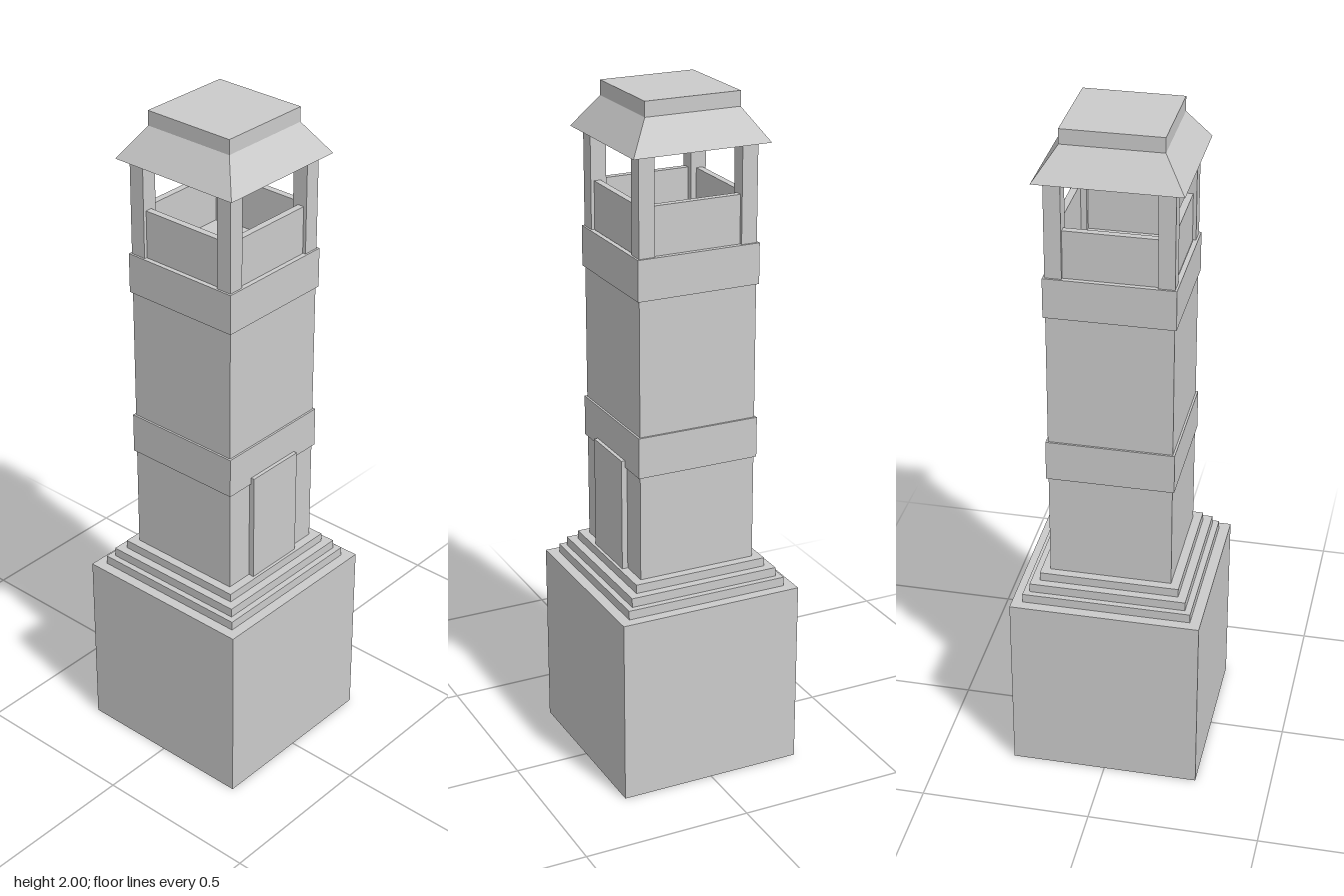
import * as THREE from 'three';

const material = new THREE.MeshStandardMaterial({ color: 0xcccccc, flatShading: true, side: THREE.DoubleSide });

// Square tower section from a profile of [half width, height] pairs, bottom to top
function squareShell(name, profile) {
  const points = profile.map(([half, y]) => new THREE.Vector2(half * Math.SQRT2, y));
  const geometry = new THREE.LatheGeometry(points, 4, Math.PI / 4).toNonIndexed();
  geometry.computeVertexNormals();
  const mesh = new THREE.Mesh(geometry, material);
  mesh.name = name;
  return mesh;
}

function box(name, w, h, d, x, y, z) {
  const mesh = new THREE.Mesh(new THREE.BoxGeometry(w, h, d), material);
  mesh.name = name;
  mesh.position.set(x, y, z);
  return mesh;
}

export function createModel() {
  const model = new THREE.Group();
  model.name = 'tower';

  // Hollow plinth and three steps, open underneath
  model.add(squareShell('plinth', [[0.278, 0], [0.278, 0.556], [0.247, 0.556]]));
  const steps = [
    [0.247, 0.085, 0.583, 0.229],
    [0.229, 0.185, 0.61, 0.204],
    [0.204, 0.215, 0.636, 0.178],
  ];
  steps.forEach(([half, bottom, top, inner], i) => {
    model.add(squareShell('step' + (i + 1), [[half, bottom], [half, top], [inner, top]]));
  });

  // Shaft with two raised bands
  model.add(squareShell('shaft', [[0.178, 0.235], [0.178, 1.58], [0, 1.58]]));
  for (const [name, bottom, top] of [['lowerBand', 0.95, 1.07], ['upperBand', 1.465, 1.583]]) {
    model.add(squareShell(name, [[0.178, bottom], [0.184, bottom], [0.184, top], [0.17, top]]));
  }

  // Door on the front
  model.add(box('door', 0.186, 0.334, 0.03, -0.002, 0.803, 0.18));

  // Open belfry: a post at each corner and a parapet panel on each side
  const belfry = new THREE.Group();
  belfry.name = 'belfry';
  for (const sx of [-1, 1]) {
    for (const sz of [-1, 1]) {
      belfry.add(box('post', 0.047, 0.29, 0.047, sx * 0.1545, 1.725, sz * 0.1545));
    }
  }
  for (let i = 0; i < 4; i++) {
    const side = new THREE.Group();
    side.name = 'parapetSide';
    side.add(box('parapet', 0.264, 0.142, 0.02, 0, 1.651, 0.158));
    side.rotation.y = i * Math.PI / 2;
    belfry.add(side);
  }
  model.add(belfry);

  // Hipped roof with a flat square cap
  model.add(squareShell('roof', [
    [0, 1.865], [0.205, 1.865], [0.142, 1.957], [0.142, 2], [0, 2],
  ]));

  return model;
}
